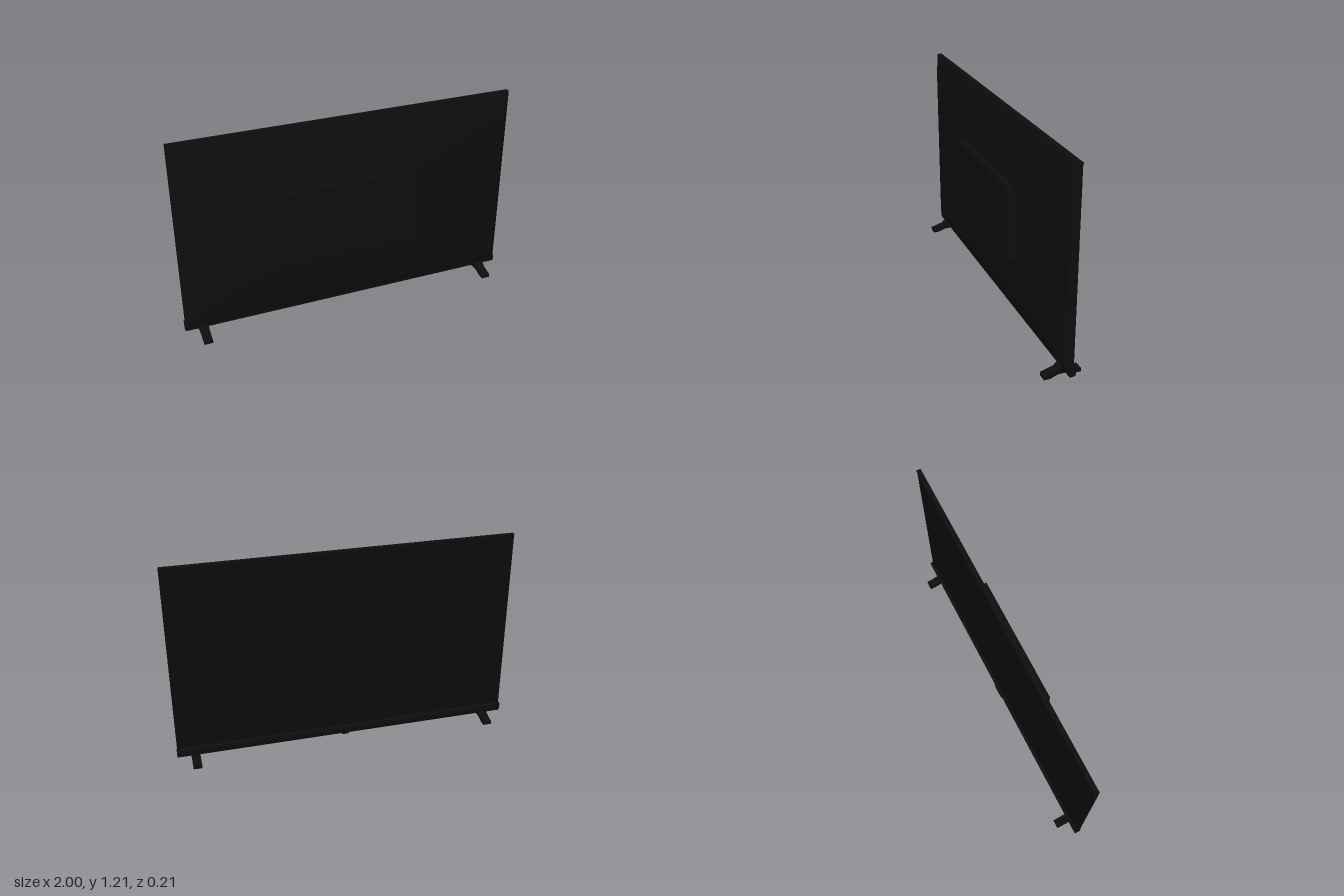
import * as THREE from 'three';

const casing = new THREE.MeshStandardMaterial({ color: 0x0e0e0e });
casing.name = 'casing black';
const glass = new THREE.MeshStandardMaterial({ color: 0x0b0b0b });
glass.name = 'screen black';

function part(parent, name, geometry, material, x = 0, y = 0, z = 0) {
  const mesh = new THREE.Mesh(geometry, material);
  mesh.name = name;
  mesh.position.set(x, y, z);
  parent.add(mesh);
  return mesh;
}

// Rectangular cross-sections [z, halfWidth, bottom, top] stacked towards +z, closed at both ends
function stackedRects(sections) {
  const loops = sections.map(([z, w, b, t]) => [[-w, b, z], [w, b, z], [w, t, z], [-w, t, z]]);
  const pos = [];
  const quad = (a, b, c, d) => pos.push(...a, ...b, ...c, ...a, ...c, ...d);
  for (let k = 0; k < loops.length - 1; k++) {
    const a = loops[k], b = loops[k + 1];
    for (let i = 0; i < 4; i++) {
      const j = (i + 1) % 4;
      quad(a[i], a[j], b[j], b[i]);
    }
  }
  const first = loops[0], last = loops[loops.length - 1];
  quad(first[3], first[2], first[1], first[0]);
  quad(last[0], last[1], last[2], last[3]);
  const g = new THREE.BufferGeometry();
  g.setAttribute('position', new THREE.Float32BufferAttribute(pos, 3));
  g.computeVertexNormals();
  return g;
}

// Side profile of [z, y] points extruded along x and centred
function sideProfile(points, width) {
  const shape = new THREE.Shape(points.map(([z, y]) => new THREE.Vector2(z, y)));
  const g = new THREE.ExtrudeGeometry(shape, { depth: width, bevelEnabled: false });
  g.translate(0, 0, -width / 2);
  g.rotateY(-Math.PI / 2);
  return g;
}

export function createModel() {
  const tv = new THREE.Group();
  tv.name = 'television';

  // Tapered rear casing
  part(tv, 'rearCasing', stackedRects([
    [-0.019, 0.997, 0.05, 1.21],
    [0.0, 0.997, 0.05, 1.21],
    [0.017, 0.97, 0.11, 1.09],
    [0.023, 0.86, 0.2, 1.05],
    [0.045, 0.38, 0.408, 0.846],
  ]), casing);

  // Electronics housing on the back
  part(tv, 'rearHousing', new THREE.BoxGeometry(0.76, 0.438, 0.05), casing, 0, 0.627, 0.059);

  // Screen and thin top trim
  part(tv, 'screen', new THREE.BoxGeometry(1.992, 1.15, 0.004), glass, 0, 0.632, -0.02);
  part(tv, 'topTrim', new THREE.BoxGeometry(1.994, 0.005, 0.008), casing, 0, 1.2075, -0.022);

  // Bottom bezel wrapping under the screen
  part(tv, 'bottomBezel', sideProfile([
    [0.005, 0.05], [0.002, 0.085], [-0.02, 0.1], [-0.037, 0.094], [-0.037, 0.075], [-0.03, 0.046], [0, 0.044],
  ], 2), casing);

  // Receiver bump at the bottom centre
  part(tv, 'receiver', sideProfile([
    [-0.02, 0.04], [-0.02, 0.09], [-0.043, 0.09], [-0.043, 0.075], [-0.034, 0.04],
  ], 0.04), casing);
  part(tv, 'receiverPlate', new THREE.BoxGeometry(0.09, 0.018, 0.007), casing, 0, 0.084, -0.039);

  // Splayed feet
  const foot = sideProfile([
    [0.105, 0], [0.105, 0.021], [0.085, 0.025], [0.03, 0.042], [0.012, 0.062],
    [-0.016, 0.062], [-0.03, 0.04], [-0.06, 0.03], [-0.082, 0.024], [-0.105, 0.021],
    [-0.105, 0], [-0.07, 0], [-0.025, 0.016], [0.025, 0.016], [0.07, 0],
  ].reverse(), 0.05);
  for (const [name, side] of [['leftFoot', 1], ['rightFoot', -1]]) {
    part(tv, name, foot, casing, side * 0.894, 0, 0);
  }
  return tv;
}
